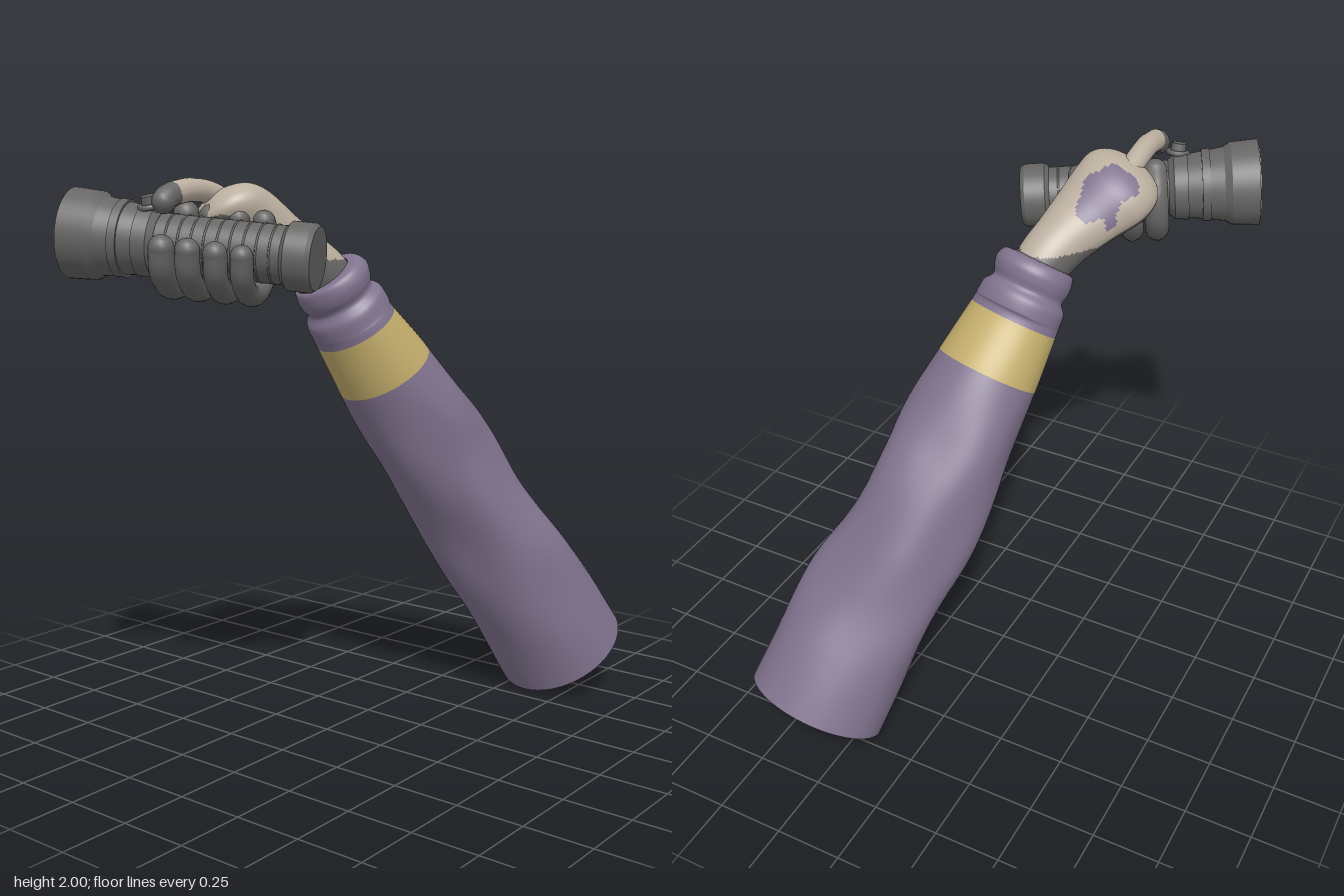
import * as THREE from 'three';

const mat = (name, color) => {
  const m = new THREE.MeshStandardMaterial({ color });
  m.name = name;
  return m;
};
const V = (x, y, z) => new THREE.Vector3(x, y, z);

// Rows are [x, y, z, ru, rv]; elliptical rings square to one axis, smoothed along the rows.
// pick(row, point, normal) gives the material index of each quad.
function loft(name, rows, axis, hint, materials, pick, { sub = 8, sides = 56, bump = () => 1, cap = false } = {}) {
  const d = axis.clone().normalize();
  const u = hint.clone().addScaledVector(d, -hint.dot(d)).normalize();
  const v = d.clone().cross(u);
  const centres = new THREE.CatmullRomCurve3(rows.map(r => V(r[0], r[1], r[2])), false, 'catmullrom', 0.5);
  const radii = new THREE.CatmullRomCurve3(rows.map(r => V(r[3], r[4], 0)), false, 'catmullrom', 0.5);
  const steps = (rows.length - 1) * sub;
  const pos = [], lists = materials.map(() => []);
  const at = (i, j) => {
    const c = centres.getPoint(i / steps), r = radii.getPoint(i / steps);
    const a = j / sides * Math.PI * 2, k = bump(i / sub, a);
    return c.addScaledVector(u, Math.cos(a) * r.x * k).addScaledVector(v, Math.sin(a) * r.y * k);
  };
  for (let i = 0; i <= steps; i++)
    for (let j = 0; j < sides; j++) pos.push(...at(i, j).toArray());
  const P = k => V(pos[k * 3], pos[k * 3 + 1], pos[k * 3 + 2]);
  for (let i = 0; i < steps; i++)
    for (let j = 0; j < sides; j++) {
      const n = (j + 1) % sides;
      const a = i * sides + j, b = i * sides + n, c = b + sides, e = a + sides;
      const mid = P(a).add(P(c)).multiplyScalar(0.5);
      const nor = P(c).sub(P(a)).cross(P(e).sub(P(b))).normalize();
      lists[pick((i + 0.5) / sub, mid, nor)].push(a, b, c, a, c, e);
    }
  if (cap) {
    const base = pos.length / 3;
    pos.push(...centres.getPoint(1).toArray());
    for (let j = 0; j < sides; j++) pos.push(...at(steps, j).toArray());
    for (let j = 0; j < sides; j++) lists[0].push(base, base + 1 + j, base + 1 + (j + 1) % sides);
  }
  const geo = new THREE.BufferGeometry();
  geo.setAttribute('position', new THREE.Float32BufferAttribute(pos, 3));
  geo.setIndex(lists.flat());
  let start = 0;
  lists.forEach((l, k) => { geo.addGroup(start, l.length, k); start += l.length; });
  geo.computeVertexNormals();
  const mesh = new THREE.Mesh(geo, materials);
  mesh.name = name;
  return mesh;
}

// Rounded tube through points, with ball ends
function digit(name, points, radius, material) {
  const g = new THREE.Group();
  g.name = name;
  const curve = new THREE.CatmullRomCurve3(points);
  g.add(new THREE.Mesh(new THREE.TubeGeometry(curve, 28, radius, 16), material));
  for (const p of [points[0], points[points.length - 1]]) {
    const ball = new THREE.Mesh(new THREE.SphereGeometry(radius, 16, 12), material);
    ball.position.copy(p);
    g.add(ball);
  }
  g.children.forEach(m => { m.name = name; });
  return g;
}

export function createModel() {
  const purple = mat('purple cloth', 0x81748f);
  const gold = mat('gold band', 0xc4ae6c);
  const beige = mat('beige glove', 0xbcb0a0);
  const grey = mat('dark grey', 0x676665);
  const model = new THREE.Group();
  model.name = 'armWithTorch';

  // Sleeve: rolled cuff, gold band, creased cloth, closed end
  const sleeveRows = [
    [-0.185, 1.67, -0.05, 0.09, 0.09],
    [-0.18, 1.665, -0.048, 0.125, 0.13],
    [-0.16, 1.64, -0.04, 0.14, 0.145],
    [-0.145, 1.61, -0.035, 0.137, 0.143],
    [-0.13, 1.58, -0.03, 0.125, 0.135],
    [-0.115, 1.55, -0.022, 0.146, 0.158],
    [-0.095, 1.51, -0.01, 0.15, 0.163],
    [-0.08, 1.475, 0, 0.146, 0.168],
    [0.035, 1.31, 0.045, 0.175, 0.192],
    [0.165, 1.12, 0.095, 0.195, 0.215],
    [0.285, 0.945, 0.135, 0.205, 0.225],
    [0.4, 0.75, 0.19, 0.202, 0.24],
    [0.51, 0.56, 0.265, 0.212, 0.255],
    [0.64, 0.36, 0.33, 0.235, 0.26],
    [0.77, 0.14, 0.39, 0.25, 0.264],
  ];
  const crease = (s, a) => {
    const k = THREE.MathUtils.smoothstep(s, 7.5, 9.5) * (1 - THREE.MathUtils.smoothstep(s, 12, 14));
    return 1 + k * (0.03 * Math.sin(3 * a + 1.9 * s) + 0.022 * Math.sin(5 * a - 1.4 * s));
  };
  model.add(loft('sleeve', sleeveRows, V(0.55, -0.82, 0.19), V(0.844, 0.536, 0), [purple, gold],
    s => (s > 7 && s < 8 ? 1 : 0), { bump: crease, cap: true }));

  // Hand: beige back, grey wrist and palm side, purple patch
  const handRows = [
    [-0.13, 1.61, -0.03, 0.09, 0.09],
    [-0.2, 1.67, -0.06, 0.1, 0.1],
    [-0.27, 1.725, -0.095, 0.108, 0.1],
    [-0.35, 1.79, -0.145, 0.13, 0.1],
    [-0.43, 1.85, -0.195, 0.155, 0.112],
    [-0.5, 1.885, -0.215, 0.155, 0.105],
    [-0.56, 1.895, -0.225, 0.125, 0.085],
    [-0.6, 1.895, -0.23, 0.07, 0.05],
    [-0.61, 1.895, -0.23, 0.001, 0.001],
  ];
  const under = V(-0.35, -0.85, -0.25).normalize();
  const handColour = (s, p, n) => {
    const dx = p.x + 0.35, dz = p.z + 0.22;
    const along = (dx + dz) * 0.707, across = (dx - dz) * 0.707;
    const wave = 1 + 0.12 * Math.sin(5 * Math.atan2(across, along));
    if (n.y > 0 && Math.hypot(along / 0.11, across / 0.062) < wave) return 2;
    return p.y < 1.72 || n.dot(under) > 0.45 ? 1 : 0;
  };
  model.add(loft('hand', handRows, V(-0.78, 0.52, -0.35), V(0.155, -0.24, -0.66),
    [beige, grey, purple], handColour, { sub: 12, sides: 72 }));

  // Torch, laid along its own axis from tail to head
  const tail = V(-0.5, 1.735, 0.18), head = V(-0.85, 1.815, -0.605);
  const length = tail.distanceTo(head);
  const axis = head.clone().sub(tail).normalize();
  const torch = new THREE.Group();
  torch.name = 'torch';
  torch.position.copy(tail);
  torch.quaternion.setFromUnitVectors(V(0, 1, 0), axis);
  const section = (name, s0, s1, r0, r1, material = grey) => {
    const m = new THREE.Mesh(new THREE.CylinderGeometry(r1, r0, s1 - s0, 48), material);
    m.name = name;
    m.position.y = (s0 + s1) / 2;
    torch.add(m);
  };
  section('tailBevel', 0, 0.015, 0.105, 0.115);
  section('tailCap', 0.015, 0.09, 0.115, 0.115);
  section('tailStep', 0.09, 0.105, 0.115, 0.1);
  section('barrel', 0.1, 0.57, 0.098, 0.098);
  section('neck', 0.54, 0.56, 0.1, 0.118);
  section('neckRing', 0.56, 0.61, 0.118, 0.122);
  section('headCone', 0.61, 0.74, 0.116, 0.134);
  section('headRing', 0.66, 0.69, 0.13, 0.132);
  section('headFlare', 0.74, 0.765, 0.134, 0.15);
  section('headRim', 0.765, length, 0.15, 0.155);
  section('lens', length, length + 0.004, 0.143, 0.143, beige);
  for (let s = 0.14; s < 0.54; s += 0.045) {
    const ring = new THREE.Mesh(new THREE.TorusGeometry(0.097, 0.004, 6, 40), grey);
    ring.name = 'gripRing';
    ring.rotation.x = Math.PI / 2;
    ring.position.y = s;
    torch.add(ring);
  }
  model.add(torch);

  // Push button on top of the torch
  const button = new THREE.Group();
  button.name = 'button';
  const stud = new THREE.Mesh(new THREE.CylinderGeometry(0.026, 0.03, 0.07, 24), grey);
  const collar = new THREE.Mesh(new THREE.TorusGeometry(0.034, 0.01, 10, 28), grey);
  stud.name = 'buttonStud';
  collar.name = 'buttonCollar';
  collar.rotation.x = Math.PI / 2;
  button.add(stud, collar);
  button.position.set(-0.765, 1.905, -0.32);
  button.rotation.z = 0.25;
  model.add(button);

  // Four fingers curled beneath the barrel; path is [sideways, up] from the torch axis
  const side = V(-0.913, 0, 0.407);
  const up = axis.clone().cross(side).normalize();
  if (up.y < 0) up.negate();
  const curl = [[-0.07, 0.1], [-0.13, 0.04], [-0.135, -0.06], [-0.07, -0.132], [0.04, -0.137], [0.118, -0.08], [0.138, -0.01]];
  [0.57, 0.465, 0.355, 0.25].forEach((t, i) => {
    const c = tail.clone().lerp(head, t);
    const pts = curl.map(([l, h]) => c.clone().addScaledVector(side, l).addScaledVector(up, h));
    model.add(digit('finger' + (i + 1), pts, 0.044 - i * 0.002, grey));
  });

  // Palm pad between the hand and the barrel
  const palm = new THREE.Mesh(new THREE.SphereGeometry(1, 32, 20), grey);
  palm.name = 'palm';
  palm.position.set(-0.49, 1.79, -0.18);
  palm.scale.set(0.075, 0.16, 0.085);
  palm.quaternion.copy(torch.quaternion);
  model.add(palm);

  // Thumb resting over the barrel, with a grey tip
  model.add(digit('thumb', [V(-0.5, 1.925, -0.24), V(-0.58, 1.952, -0.245), V(-0.66, 1.957, -0.242), V(-0.74, 1.945, -0.238)], 0.04, beige));
  model.add(digit('thumbTip', [V(-0.745, 1.943, -0.238), V(-0.77, 1.932, -0.237), V(-0.785, 1.92, -0.236)], 0.041, grey));

  return model;
}
